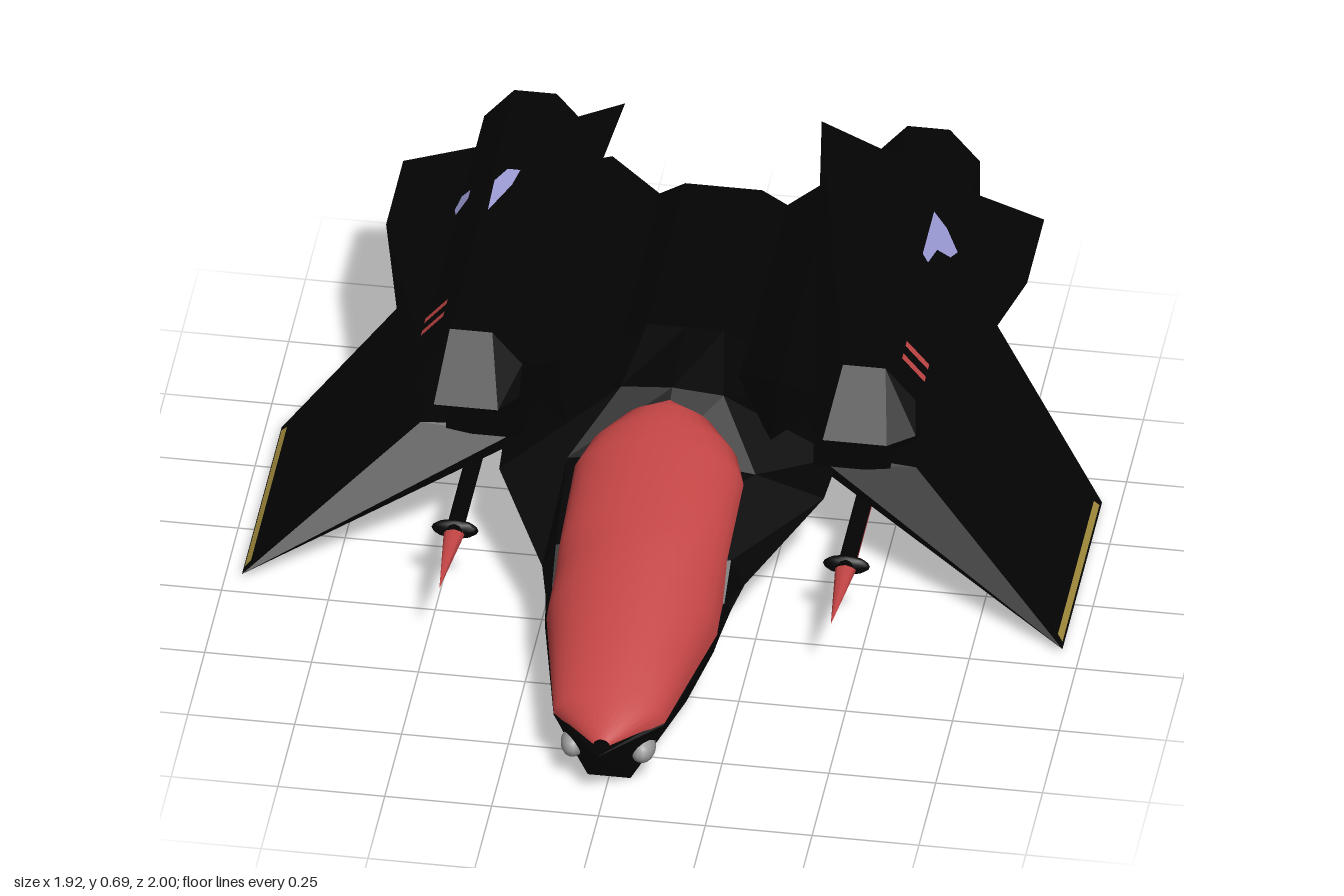
import * as THREE from 'three';
import { ConvexGeometry } from 'three/addons/geometries/ConvexGeometry.js';

const mat = (name, color, side = THREE.FrontSide) => {
  const m = new THREE.MeshStandardMaterial({ color, side });
  m.name = name;
  return m;
};

// Skin between rings of [x, y, z] points, ordered front to back
function loft(rings, { closed = true, smooth = false } = {}) {
  const n = rings[0].length, idx = [];
  for (let r = 0; r < rings.length - 1; r++) {
    for (let i = 0; i < (closed ? n : n - 1); i++) {
      const j = (i + 1) % n;
      const a = r * n + i, b = r * n + j, c = b + n, d = a + n;
      idx.push(a, d, b, b, d, c);
    }
  }
  if (closed) {
    const last = (rings.length - 1) * n;
    for (let i = 1; i < n - 1; i++) {
      idx.push(0, i, i + 1, last, last + i + 1, last + i);
    }
  }
  let g = new THREE.BufferGeometry();
  g.setAttribute('position', new THREE.Float32BufferAttribute(rings.flat(2), 3));
  g.setIndex(idx);
  if (!smooth) g = g.toNonIndexed();
  g.computeVertexNormals();
  return g;
}

// Full ring from a half section running bottom centre to top centre
function mirrorRing(z, half) {
  const right = half.map(([x, y]) => [x, y, z]);
  const left = half.slice(1, -1).reverse().map(([x, y]) => [-x, y, z]);
  return [...right, ...left];
}

const hullOf = (pts) => new ConvexGeometry(pts.map((p) => new THREE.Vector3(...p)));

// Thin painted polygon, fanned from its first corner
function plate(pts) {
  const g = new THREE.BufferGeometry();
  g.setAttribute('position', new THREE.Float32BufferAttribute(pts.flat(), 3));
  const idx = [];
  for (let i = 1; i < pts.length - 1; i++) idx.push(0, i, i + 1);
  g.setIndex(idx);
  const flat = g.toNonIndexed();
  flat.computeVertexNormals();
  return flat;
}

// Cylinder lying along z, between two z positions
function rod(r, z0, z1, x, y, sides = 10) {
  return new THREE.CylinderGeometry(r, r, Math.abs(z1 - z0), sides)
    .rotateX(Math.PI / 2).translate(x, y, (z0 + z1) / 2);
}

export function createModel() {
  const black = mat('black hull', 0x030303);
  const red = mat('red canopy', 0xc44545, THREE.DoubleSide);
  const violet = mat('violet glow', 0xa0a0dc, THREE.DoubleSide);
  const gold = mat('gold trim', 0xa08a3a, THREE.DoubleSide);
  const grey = mat('grey lamp', 0x9a9a9a, THREE.DoubleSide);

  const model = new THREE.Group();
  const add = (parent, name, geometry, material) => {
    const m = new THREE.Mesh(geometry, material);
    m.name = name;
    parent.add(m);
    return m;
  };

  // Fuselage: narrow keel, thin shoulders and spine
  const sections = [
    [1.00, [[0, .165], [.001, .165], [.002, .167], [.002, .168], [.002, .17], [.001, .171], [0, .171]]],
    [0.84, [[0, 0], [.05, 0], [.107, .113], [.118, .137], [.13, .16], [.12, .168], [0, .17]]],
    [0.52, [[0, 0], [.13, 0], [.195, .15], [.197, .158], [.2, .17], [.194, .19], [0, .22]]],
    [0.41, [[0, .015], [.13, .015], [.2, .15], [.207, .165], [.217, .19], [.202, .208], [0, .28]]],
    [0.33, [[0, .03], [.13, .03], [.2, .15], [.215, .175], [.237, .21], [.205, .275], [0, .32]]],
    [0.06, [[0, .07], [.13, .07], [.2, .15], [.25, .22], [.38, .28], [.22, .33], [0, .36]]],
    [-0.10, [[0, .095], [.14, .095], [.2, .16], [.25, .22], [.39, .285], [.12, .43], [0, .44]]],
    [-0.30, [[0, .1], [.16, .1], [.2, .17], [.25, .22], [.4, .285], [.09, .47], [0, .47]]],
    [-0.865, [[0, .11], [.17, .11], [.2, .17], [.25, .22], [.4, .285], [.09, .47], [0, .47]]],
  ];
  add(model, 'fuselage', loft(sections.map(([z, half]) => mirrorRing(z, half))), black);

  // Canopy: rounded arches, [z, half width, edge height, top height]
  const arches = [
    [.955, .02, .165, .185], [.84, .13, .165, .232], [.68, .163, .175, .28], [.5, .2, .185, .335],
    [.4, .2, .2, .36], [.33, .2, .25, .378], [.1, .2, .315, .425], [.03, .175, .33, .437],
    [-.03, .115, .36, .441], [-.065, .005, .41, .43],
  ];
  const canopyRings = arches.map(([z, w, e, t]) => Array.from({ length: 17 }, (_, i) => {
    const a = Math.PI * i / 16;
    return [w * Math.cos(a), e + (t - e) * Math.max(0, Math.sin(a)) ** .95, z];
  }));
  add(model, 'canopy', loft(canopyRings, { closed: false, smooth: true }), red);

  // Frame around the rear port
  for (const s of [-1, 1]) {
    add(model, 'portSide', new THREE.BoxGeometry(.02, .18, .01).translate(s * .09, .28, -.867), black);
    add(model, 'portEdge', new THREE.BoxGeometry(.2, .02, .01).translate(0, .28 + s * .09, -.867), black);
  }

  // Belly markings, [z, y, half depth]
  for (const [z, y, d] of [[-.27, .092, .032], [-.66, .1, .02]]) {
    const w = .072;
    add(model, 'bellyMark', plate([[-w, y, z - d], [w, y, z - d], [w, y, z + d], [-w, y, z + d]]), gold);
  }

  // One side: nacelle, fins, wing, cannon
  const side = new THREE.Group();
  side.name = 'leftSide';
  const CX = .46, CY = .46;
  const octagon = (rx, ry, z) => Array.from({ length: 8 }, (_, i) => {
    const a = Math.PI / 8 + i * Math.PI / 4, k = 1 / Math.cos(Math.PI / 8);
    return [CX + rx * k * Math.cos(a), CY + ry * k * Math.sin(a), z];
  });

  // Nacelle: octagonal prism with a wedge-shaped front lip
  add(side, 'nacelle', hullOf([
    ...octagon(.12, .14, -.865), ...octagon(.12, .14, -.03).filter(([, y]) => y > .5),
    [.38, .46, .08], [.53, .46, .08], [.59, .46, .03], [.605, .46, -.02], [.34, .46, .02],
    [.58, .4, -.04], [.34, .4, -.04], [.51, .32, -.1], [.41, .32, -.1]]), black);

  // Open engine nozzle with a glowing disc inside
  const nozzle = new THREE.Shape(octagon(.12, .14, 0).map(([x, y]) => new THREE.Vector2(x, y)));
  nozzle.holes.push(new THREE.Path(octagon(.095, .112, 0).reverse().map(([x, y]) => new THREE.Vector2(x, y))));
  add(side, 'engineNozzle', new THREE.ExtrudeGeometry(nozzle, { depth: .125, bevelEnabled: false }).translate(0, 0, -.99), black);
  add(side, 'engineGlow', plate(octagon(.1, .117, -.94).reverse()), violet);

  add(side, 'innerFin', hullOf([
    [.41, .6, -.03], [.34, .52, -.05], [.41, .6, -.865], [.34, .52, -.865], [.23, .685, -.86]]), black);
  add(side, 'outerFin', hullOf([
    [.575, .52, -.03], [.57, .395, -.04], [.575, .52, -.865], [.57, .395, -.865],
    [.61, .46, -.01], [.75, .46, -.61], [.75, .46, -.865]]), black);

  // Strut to the spine and pylon to the wing
  const strut = [[.13, .42], [.24, .36], [.35, .46], [.35, .5], [.26, .53], [.17, .45]];
  add(side, 'strut', hullOf(strut.flatMap(([x, y]) => [[x, y, x < .2 ? -.2 : -.04], [x, y, -.862]])), black);
  add(side, 'pylon', new THREE.BoxGeometry(.18, .19, .82).translate(.43, .395, -.45), black);

  add(side, 'wing', hullOf([
    [.37, .3, -.05], [.42, .32, -.06], [.58, .32, -.04], [.96, .015, .2], [.96, .015, -.39],
    [.58, .32, -.81], [.42, .32, -.86], [.37, .3, -.86],
    [.37, .265, -.06], [.55, .265, -.06], [.55, .265, -.82], [.37, .265, -.86]]), black);

  // Gold strips along the wing tip, above and below
  const strip = (x0, x1, y0, y1) => plate([[x0, y0, .165], [x1, y1, .18], [x1, y1, -.37], [x0, y0, -.37]]);
  add(side, 'upperTipStrip', strip(.944, .957, .032, .0215), gold);
  add(side, 'lowerTipStrip', strip(.918, .956, .0325, .0115), gold);

  // Points on the upper outer nacelle face; t runs down the slope
  const face = (t, z) => [.516 + .07 * t, .604 - .082 * t, z];
  for (const z of [-.115, -.165]) {
    add(side, 'redStripe', plate([face(.3, z + .01), face(.3, z - .01), face(1.05, z - .01), face(1.05, z + .01)]), red);
  }

  // Cannon slung under the wing
  const GX = .458, GY = .215;
  add(side, 'cannonBarrel', rod(.02, .24, -.45, GX, GY), black);
  add(side, 'cannonBody', rod(.036, -.4, -1, GX, GY + .006), black);
  add(side, 'cannonCollar', new THREE.SphereGeometry(.055, 12, 8).scale(1, .45, .28).translate(GX, GY, .222), black);
  add(side, 'cannonTip', new THREE.ConeGeometry(.025, .225, 8)
    .rotateX(Math.PI / 2).scale(1, .7, 1).translate(GX, GY - .005, .342), red);
  add(side, 'cannonStripe', new THREE.BoxGeometry(.006, .009, .58).translate(GX + .015, GY - .015, -.08), red);

  // Nose lamp bulging from the chin corner
  add(side, 'noseLamp', new THREE.SphereGeometry(1, 14, 10).scale(.03, .033, .045).translate(.081, .1, .852), grey);

  const other = side.clone();
  other.name = 'rightSide';
  other.scale.x = -1;

  // Vents, which differ from side to side
  add(side, 'upperVent', plate([
    face(.1, -.67), face(.55, -.66), face(1, -.62), face(.85, -.58), face(.45, -.56), face(.3, -.49), face(.1, -.5)]), violet);
  add(side, 'lowerVent', plate([
    [.584, .383, -.54], [.584, .383, -.62], [.565, .357, -.63], [.565, .357, -.56]]), grey);
  add(other, 'topVent', plate([
    [.495, .606, -.5], [.498, .606, -.62], [.475, .606, -.67], [.445, .606, -.67], [.455, .606, -.61]]), violet);
  add(other, 'outerVent', plate([
    face(.6, -.61), face(.6, -.645), face(.9, -.65), face(1.05, -.61), face(.95, -.58)]), violet);

  model.add(side, other);
  return model;
}
